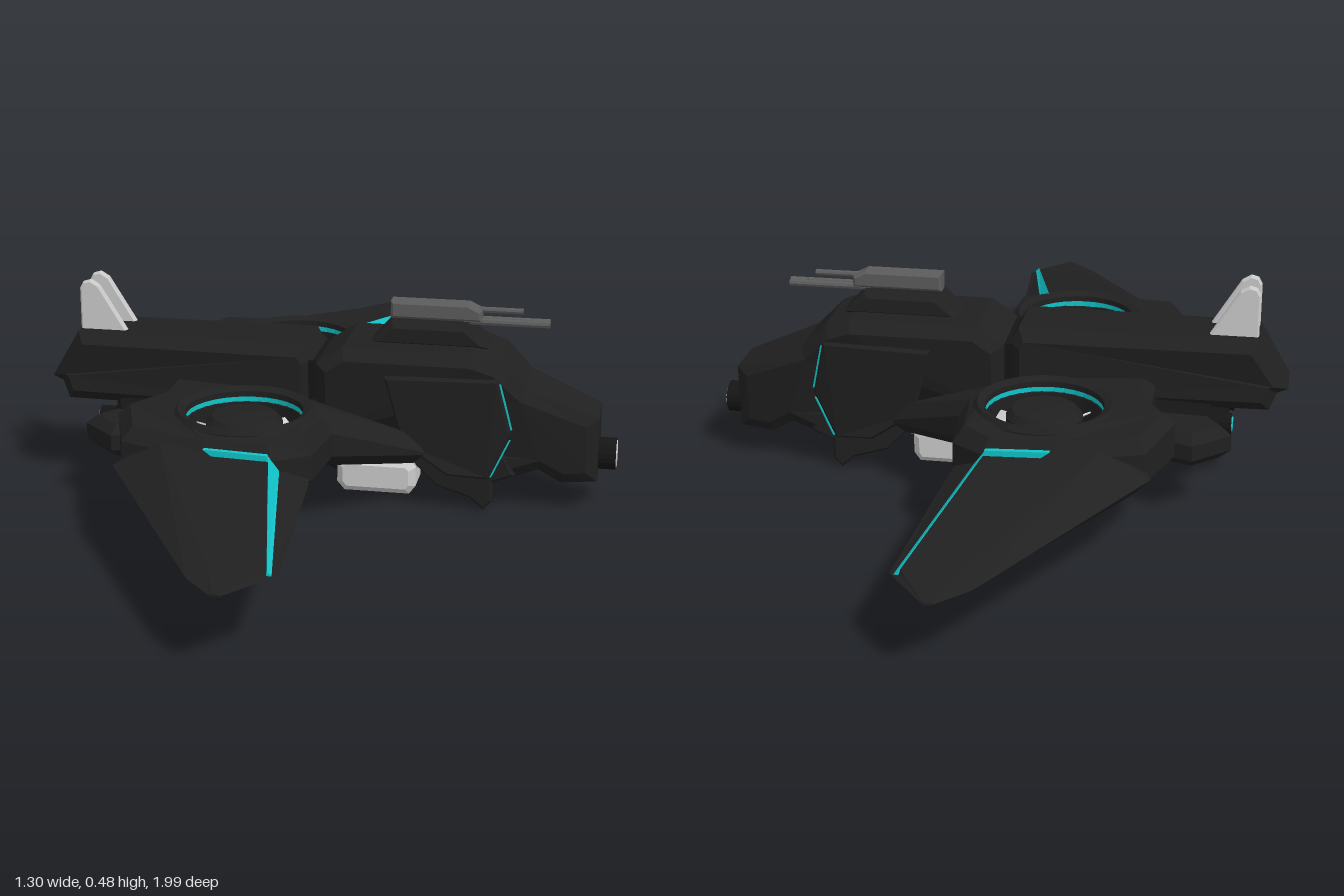
import * as THREE from 'three';

const paint = (color) => new THREE.MeshStandardMaterial({ color, flatShading: true, side: THREE.DoubleSide });
const dark = paint(0x202020), black = paint(0x151515), cyan = paint(0x10c4c8), steel = paint(0x5c5c5c), grey = paint(0xcccccc);

const V = (p) => new THREE.Vector2(p[0], p[1]);

function add(parent, name, geometry, material) {
  const mesh = new THREE.Mesh(geometry, material);
  mesh.name = name;
  parent.add(mesh);
  return mesh;
}

// Move every vertex by a rule
function warp(geometry, rule) {
  const p = geometry.attributes.position, v = new THREE.Vector3();
  for (let i = 0; i < p.count; i++) {
    rule(v.fromBufferAttribute(p, i));
    p.setXYZ(i, v.x, v.y, v.z);
  }
  geometry.computeVertexNormals();
  return geometry;
}

function extrude(shape, thickness, bevel) {
  return new THREE.ExtrudeGeometry(shape, {
    depth: thickness - 2 * bevel, bevelEnabled: bevel > 0, bevelSize: bevel,
    bevelThickness: bevel, bevelOffset: -bevel, bevelSegments: 1, curveSegments: 24,
  }).translate(0, 0, bevel - thickness / 2);
}

// Side profile (x, y) extruded across z
const slab = (profile, width, bevel = 0, z = 0) =>
  extrude(new THREE.Shape(profile.map(V)), width, bevel).translate(0, 0, z);

// Plan outline (x, z) extruded from y0 to y1
function plate(outline, y0, y1, bevel, hole) {
  const shape = new THREE.Shape(outline.map(V));
  if (hole) shape.holes.push(new THREE.Path().absarc(hole.x, hole.z, hole.r, 0, Math.PI * 2, true));
  return extrude(shape, y1 - y0, bevel).rotateX(Math.PI / 2).translate(0, (y0 + y1) / 2, 0);
}

// Skin over rings of equal point count, closed at both ends, turned outward
function loft(rings) {
  const n = rings[0].length, index = [];
  for (let r = 0; r < rings.length - 1; r++)
    for (let i = 0; i < n; i++) {
      const a = r * n + i, b = r * n + (i + 1) % n;
      index.push(a, b, a + n, b, b + n, a + n);
    }
  const last = (rings.length - 1) * n;
  for (let i = 1; i < n - 1; i++) index.push(0, i + 1, i, last, last + i, last + i + 1);
  const pts = rings.flat();
  let volume = 0;
  for (let i = 0; i < index.length; i += 3) {
    const [a, b, c] = [0, 1, 2].map((k) => new THREE.Vector3(...pts[index[i + k]]));
    volume += a.dot(b.cross(c));
  }
  if (volume < 0) index.reverse();
  const g = new THREE.BufferGeometry();
  g.setAttribute('position', new THREE.Float32BufferAttribute(pts.flat(), 3));
  g.setIndex(index);
  g.computeVertexNormals();
  return g;
}

// Copy of a geometry reflected in z, with the corner order restored
function mirrored(geometry) {
  const g = geometry.index ? geometry.toNonIndexed() : geometry.clone();
  const p = g.attributes.position, v = [0, 1, 2].map(() => new THREE.Vector3());
  for (let i = 0; i < p.count; i += 3) {
    v.forEach((q, k) => q.fromBufferAttribute(p, i + k));
    v.forEach((q, k) => p.setXYZ(i + 2 - k, q.x, q.y, -q.z));
  }
  g.computeVertexNormals();
  return g;
}

const lerp = THREE.MathUtils.mapLinear;
const clamp = (v) => Math.min(1, Math.max(0, v));

function buildFuselage(body) {
  // Rear hull, narrowing towards the tail
  const rear = slab([[-0.58, 0.365], [-0.05, 0.365], [-0.03, 0.33], [-0.03, 0.2], [-0.61, 0.2], [-0.625, 0.24], [-0.65, 0.25]], 0.2, 0.025);
  add(body, 'rearHull', warp(rear, (v) => { v.z *= 1 - 0.3 * clamp((-0.54 - v.x) / 0.1); }), dark);
  add(body, 'neck', new THREE.BoxGeometry(0.12, 0.17, 0.17).translate(-0.01, 0.245, 0), black);

  // Front hull, tapering towards the nose and the keel
  const front = slab([[-0.02, 0.33], [0.04, 0.37], [0.33, 0.37], [0.39, 0.35], [0.45, 0.29], [0.61, 0.225], [0.61, 0.075],
    [0.53, 0.07], [0.48, 0.1], [0.42, 0.08], [0.32, 0.06], [0.2, 0.12], [-0.02, 0.15]], 0.25, 0.025);
  add(body, 'frontHull', warp(front, (v) => {
    v.z *= (1 - 0.36 * clamp((v.x - 0.34) / 0.27)) * lerp(clamp((0.33 - v.y) / 0.25), 0, 1, 1, 0.8);
  }), dark);

  // Lower hull under the wing roots
  add(body, 'lowerHull', slab([[-0.48, 0.21], [-0.52, 0.15], [-0.36, 0.105], [-0.36, 0.08], [-0.1, 0.08], [-0.06, 0.14],
    [0.22, 0.14], [0.22, 0.24], [-0.1, 0.24]], 0.22, 0.02), black);

  // Nose cannon
  add(body, 'noseCannon', new THREE.CylinderGeometry(0.036, 0.036, 0.06, 20).rotateZ(Math.PI / 2).translate(0.619, 0.125, 0), black);
  add(body, 'noseLens', new THREE.CylinderGeometry(0.031, 0.031, 0.004, 20).rotateZ(Math.PI / 2).translate(0.649, 0.125, 0), grey);

  // Roof turret with stacked barrels
  add(body, 'turretBase', slab([[0.09, 0.365], [0.14, 0.42], [0.31, 0.42], [0.36, 0.365]], 0.1, 0.015), dark);
  add(body, 'turretGun', slab([[0.135, 0.42], [0.135, 0.46], [0.31, 0.46], [0.34, 0.445], [0.34, 0.42]], 0.045, 0.006), steel);
  for (const [x0, x1, y, z, r] of [[0.3, 0.43, 0.445, 0, 0.007], [0.3, 0.49, 0.42, 0.01, 0.008], [0.3, 0.49, 0.42, -0.01, 0.008], [0.45, 0.49, 0.42, 0, 0.011]])
    add(body, 'turretBarrel', new THREE.CylinderGeometry(r, r, x1 - x0, 8).rotateZ(Math.PI / 2).translate((x0 + x1) / 2, y, z), steel);

  // Belly pod and its cable
  add(body, 'bellyPod', slab([[0.018, 0.03], [0.035, 0.01], [0.185, 0.01], [0.2, 0.03], [0.2, 0.075], [0.185, 0.092], [0.035, 0.092], [0.018, 0.075]], 0.11, 0.015), grey);
  add(body, 'bellyPodMount', slab([[0.06, 0.07], [0.08, 0.125], [0.21, 0.11], [0.21, 0.07]], 0.07, 0.008), grey);
  add(body, 'cableSocket', new THREE.BoxGeometry(0.055, 0.06, 0.06).translate(-0.04, 0.12, 0), black);
  const path = new THREE.CatmullRomCurve3([[-0.04, 0.1], [-0.025, 0.07], [0.0, 0.055], [0.03, 0.05]].map(([x, y]) => new THREE.Vector3(x, y, 0)));
  add(body, 'cable', new THREE.TubeGeometry(path, 12, 0.006, 6), black);
}

// Everything that stands on the +z side and is mirrored
function buildSide() {
  const side = new THREE.Group();

  // Cheek armour with a lit front edge
  const lean = (v) => { v.z += (v.y - 0.2) * 0.1 - 0.03 * clamp((v.x - 0.3) / 0.12); };
  add(side, 'cheekPanel', warp(slab([[0.14, 0.32], [0.39, 0.32], [0.42, 0.19], [0.37, 0.08], [0.28, 0.09], [0.18, 0.16]], 0.02, 0.006, 0.123), lean), dark);
  for (const [a, b] of [[[0.392, 0.31], [0.418, 0.2]], [[0.415, 0.175], [0.374, 0.085]]])
    add(side, 'cheekLight', warp(slab([a, b, [b[0] + 0.004, b[1]], [a[0] + 0.004, a[1]]], 0.013, 0, 0.122), lean), cyan);

  // Chin prong and tail fin
  add(side, 'chinProng', slab([[0.18, 0.13], [0.25, 0.055], [0.33, 0.03], [0.36, 0.003], [0.38, 0.025], [0.38, 0.07], [0.43, 0.09], [0.4, 0.15]], 0.035, 0.006, 0.077), dark);
  add(side, 'tailFin', slab([[-0.58, 0.35], [-0.58, 0.46], [-0.572, 0.475], [-0.555, 0.48], [-0.535, 0.468], [-0.47, 0.362], [-0.47, 0.35]], 0.018, 0.004, 0.038), grey);

  // Wing root with a round fan opening
  const fan = { x: -0.14, z: 0.285, r: 0.125 };
  const root = plate([[0.23, 0.08], [0.23, 0.13], [0.05, 0.27], [0.035, 0.42], [-0.04, 0.48], [-0.19, 0.485], [-0.37, 0.44],
    [-0.42, 0.29], [-0.36, 0.19], [-0.36, 0.08]], 0.15, 0.275, 0.025, fan);
  add(side, 'wingRoot', warp(root, (v) => {
    if (v.y > 0.2) v.y -= 0.45 * Math.max(0, v.x) + 0.2 * Math.max(0, v.z - 0.4);
    else v.y -= 0.035 * clamp((0.25 - v.z) / 0.12);
  }), dark);

  // Tail prong and engine nozzle
  add(side, 'tailProng', plate([[-0.33, 0.09], [-0.49, 0.1], [-0.535, 0.17], [-0.455, 0.245], [-0.34, 0.2]], 0.125, 0.2, 0.02), dark);
  add(side, 'engineNozzle', new THREE.CylinderGeometry(0.024, 0.024, 0.06, 12).rotateZ(Math.PI / 2).translate(-0.5, 0.165, 0.07), black);
  add(side, 'engineGlow', new THREE.CylinderGeometry(0.017, 0.017, 0.004, 12).rotateZ(Math.PI / 2).translate(-0.531, 0.165, 0.07), cyan);

  // Duct, light band, hub and tilted blades of the fan
  const duct = [[0.128, 0.145], [0.15, 0.14], [0.155, 0.27], [0.145, 0.283], [0.128, 0.275], [0.128, 0.145]];
  add(side, 'fanDuct', new THREE.LatheGeometry(duct.map(V), 32).translate(fan.x, 0, fan.z), dark);
  add(side, 'fanLight', new THREE.CylinderGeometry(0.127, 0.127, 0.035, 32, 1, true).translate(fan.x, 0.245, fan.z), cyan);
  const hub = [[0, 0.16], [0.07, 0.16], [0.083, 0.18], [0.083, 0.25], [0.07, 0.265], [0, 0.268]];
  add(side, 'fanHub', new THREE.LatheGeometry(hub.map(V), 28).translate(fan.x, 0, fan.z), dark);
  for (let i = 0; i < 14; i++) {
    const blade = new THREE.BoxGeometry(0.05, 0.004, 0.036).rotateX(0.6).translate(0.103, 0.215, 0);
    add(side, 'fanBlade', blade.rotateY((i * Math.PI) / 7).translate(fan.x, 0, fan.z), grey);
  }

  // Outer wing: each ring runs rear edge, two ridges, front step, leading edge, underside
  const ring = (z, pts) => pts.map(([x, y, dz = 0]) => [x, y, z + dz]);
  add(side, 'outerWing', loft([
    ring(0.42, [[-0.37, 0.2], [-0.28, 0.255], [-0.06, 0.245], [-0.04, 0.215], [0.03, 0.18], [0, 0.155], [-0.34, 0.16]]),
    ring(0.46, [[-0.385, 0.195], [-0.28, 0.25], [-0.05, 0.243], [-0.03, 0.215], [0.035, 0.175], [0, 0.155], [-0.35, 0.16]]),
    ring(0.89, [[-0.1, 0.165, 0.04], [-0.07, 0.178], [0.045, 0.176], [0.052, 0.17], [0.066, 0.166], [0.05, 0.16], [-0.09, 0.16, 0.04]]),
    ring(0.995, [[-0.04, 0.165], [-0.035, 0.167], [-0.022, 0.167], [-0.02, 0.166], [-0.018, 0.165], [-0.02, 0.162], [-0.035, 0.162]]),
  ]), dark);

  // Lit strips along the wing's front step and the outer face of the root
  add(side, 'wingLight', loft([
    ring(0.475, [[-0.045, 0.244], [-0.022, 0.213], [-0.04, 0.21]]),
    ring(0.9, [[0.047, 0.177], [0.056, 0.169], [0.045, 0.168]]),
  ]), cyan);
  add(side, 'rootLight', slab([[-0.18, 0.255], [-0.045, 0.25], [-0.04, 0.23], [-0.16, 0.24]], 0.012, 0, 0.486), cyan);
  return side;
}

export function createModel() {
  const model = new THREE.Group();
  model.name = 'gunship';

  const fuselage = new THREE.Group();
  fuselage.name = 'fuselage';
  buildFuselage(fuselage);

  const left = buildSide(), right = new THREE.Group();
  left.name = 'frontSide';
  right.name = 'backSide';
  left.children.forEach((m) => add(right, m.name, mirrored(m.geometry), m.material));

  model.add(fuselage, left, right);
  return model;
}
